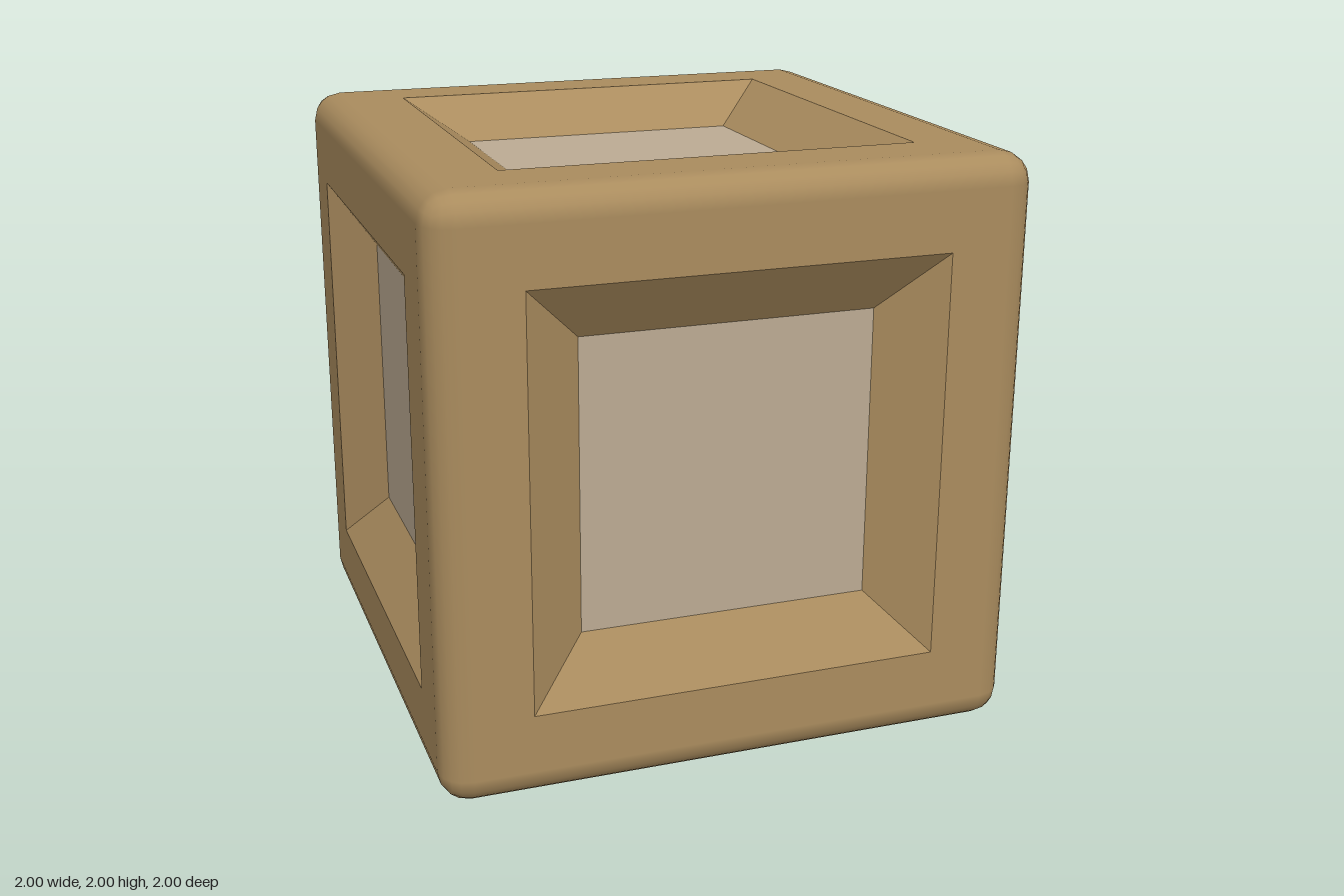
import * as THREE from 'three';
import { RoundedBoxGeometry } from 'three/addons/geometries/RoundedBoxGeometry.js';

const HALF = 1, RADIUS = 0.1, OPENING = 0.7, FLOOR = 0.5, DEPTH = 0.14;

// Rounded edges and corners only: a rounded cube without its six flat squares.
function roundedEdges() {
  const box = new RoundedBoxGeometry(HALF * 2, HALF * 2, HALF * 2, 2, RADIUS);
  const source = box.index ? box.toNonIndexed() : box;
  const pos = source.attributes.position, nor = source.attributes.normal;
  const keptPos = [], keptNor = [];
  for (let i = 0; i < pos.count; i += 3) {
    const corners = [i, i + 1, i + 2];
    const flat = ['getX', 'getY', 'getZ'].some(get =>
      corners.every(c => Math.abs(pos[get](c)) > HALF - 1e-4));
    if (flat) continue;
    for (const c of corners) {
      keptPos.push(pos.getX(c), pos.getY(c), pos.getZ(c));
      keptNor.push(nor.getX(c), nor.getY(c), nor.getZ(c));
    }
  }
  const geometry = new THREE.BufferGeometry();
  geometry.setAttribute('position', new THREE.Float32BufferAttribute(keptPos, 3));
  geometry.setAttribute('normal', new THREE.Float32BufferAttribute(keptNor, 3));
  return geometry;
}

function squarePoints(h) {
  return [[-h, -h], [h, -h], [h, h], [-h, h]].map(([x, y]) => new THREE.Vector2(x, y));
}

export function createModel() {
  const model = new THREE.Group();
  model.name = 'crate';
  const wood = new THREE.MeshStandardMaterial({ color: 0xaa8c5e });
  const pale = new THREE.MeshStandardMaterial({ color: 0xbcab93 });

  function add(parent, name, geometry, material) {
    const mesh = new THREE.Mesh(geometry, material);
    mesh.name = name;
    parent.add(mesh);
    return mesh;
  }

  // Flat border with a square opening
  const shape = new THREE.Shape(squarePoints(HALF - RADIUS));
  shape.holes.push(new THREE.Path(squarePoints(OPENING).reverse()));
  const border = new THREE.ShapeGeometry(shape).translate(0, 0, HALF);

  // Four sloping sides of the recess, turned to face inwards
  let slopes = new THREE.CylinderGeometry(OPENING * Math.SQRT2, FLOOR * Math.SQRT2, DEPTH, 4, 1, true);
  slopes.rotateY(Math.PI / 4).rotateX(Math.PI / 2).translate(0, 0, HALF - DEPTH / 2);
  slopes = slopes.toNonIndexed();
  const p = slopes.attributes.position;
  for (let i = 0; i < p.count; i++) p.setX(i, -p.getX(i));
  slopes.computeVertexNormals();

  // Recessed panel
  const panel = new THREE.PlaneGeometry(FLOOR * 2, FLOOR * 2).translate(0, 0, HALF - DEPTH);

  // The same recessed face on all six sides
  const q = Math.PI / 2;
  const sides = {
    front: [0, 0], left: [0, q], back: [0, 2 * q], right: [0, -q], top: [-q, 0], bottom: [q, 0],
  };
  for (const [name, [rx, ry]] of Object.entries(sides)) {
    const face = new THREE.Group();
    face.name = name + 'Face';
    face.rotation.set(rx, ry, 0);
    face.position.y = HALF;
    add(face, name + 'Border', border, wood);
    add(face, name + 'RecessSlopes', slopes, wood);
    add(face, name + 'Panel', panel, pale);
    model.add(face);
  }

  add(model, 'roundedEdges', roundedEdges(), wood).position.y = HALF;
  return model;
}
